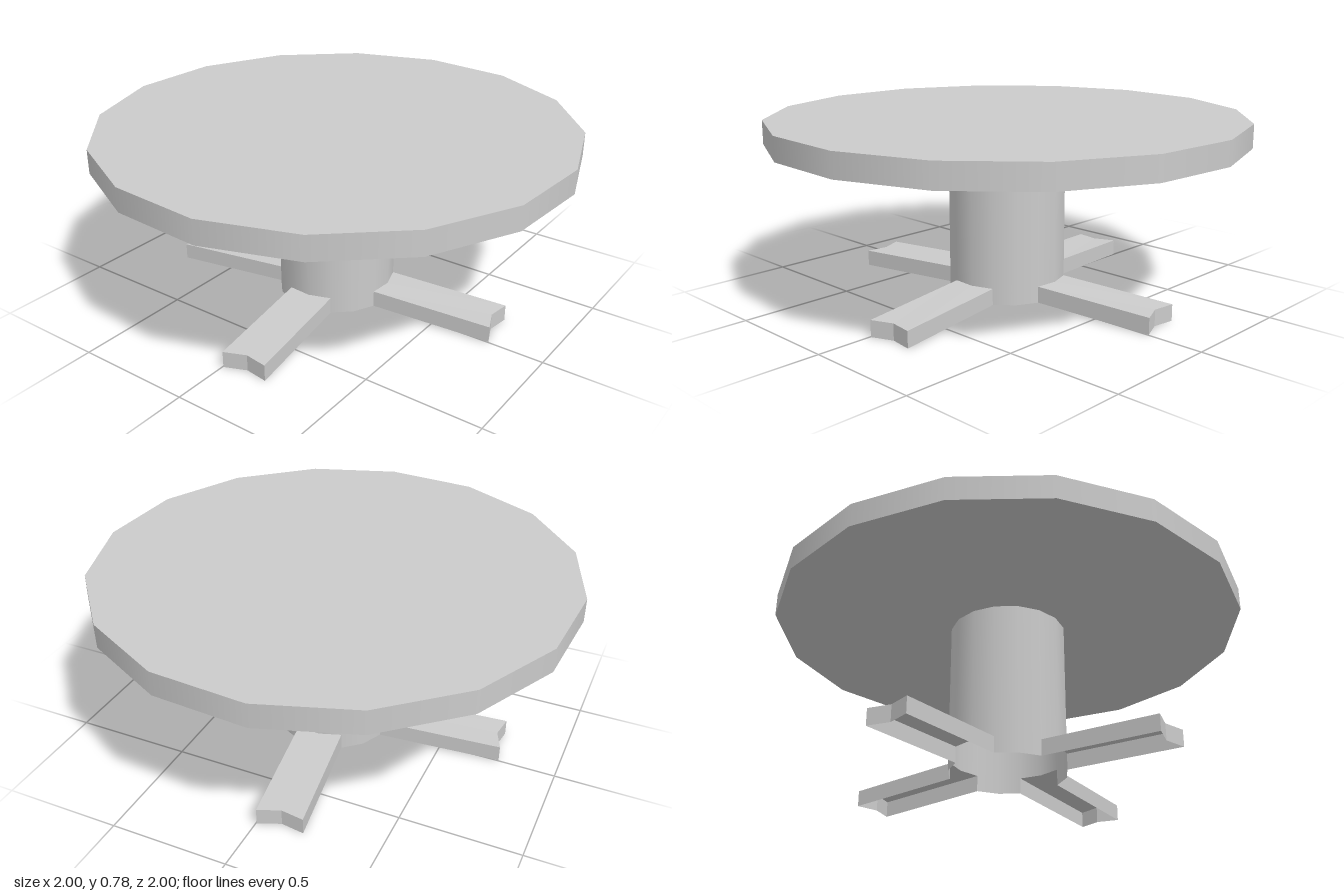
import * as THREE from 'three';

const SIDES = 16, STEP = (Math.PI * 2) / SIDES, R = 0.25;
const BASE = 0.02, LEG_TOP = 0.09, TOP_UNDER = 0.68, TOP = 0.78;

const material = new THREE.MeshStandardMaterial({ color: 0xcccccc, side: THREE.DoubleSide });

function part(name, geometry, y = 0) {
  const mesh = new THREE.Mesh(geometry, material);
  mesh.name = name;
  mesh.position.y = y;
  return mesh;
}

// Hollow foot running along +z: top, sides and notched end, open underneath
function legGeometry() {
  const w = R * Math.sin(STEP), inner = R * Math.cos(STEP), drop = 0.02, h = LEG_TOP - BASE;
  const innerL = [-w, inner, BASE], innerMid = [0, R, BASE], innerR = [w, inner, BASE];
  const outerL = [-w, 0.753, BASE - drop], outerMid = [0, 0.727, BASE - drop], outerR = [w, 0.753, BASE - drop];
  const low = ([x, z, y]) => [x, y, z];
  const high = ([x, z, y]) => [x, y + h, z];
  const pos = [];
  const quad = (a, b, c, d) => pos.push(...a, ...b, ...c, ...a, ...c, ...d);

  quad(...[innerL, outerL, outerMid, innerMid].map(high));
  quad(...[innerMid, outerMid, outerR, innerR].map(high));
  const rim = [innerL, outerL, outerMid, outerR, innerR];
  for (let i = 0; i < rim.length - 1; i++) {
    quad(low(rim[i]), low(rim[i + 1]), high(rim[i + 1]), high(rim[i]));
  }
  const geometry = new THREE.BufferGeometry();
  geometry.setAttribute('position', new THREE.Float32BufferAttribute(pos, 3));
  geometry.computeVertexNormals();
  return geometry;
}

export function createModel() {
  const model = new THREE.Group();
  model.name = 'pedestalTable';

  // Round top
  model.add(part('tableTop',
    new THREE.CylinderGeometry(1.008, 1.008, TOP - TOP_UNDER, SIDES), (TOP + TOP_UNDER) / 2));

  // Hollow column
  model.add(part('column',
    new THREE.CylinderGeometry(R, R, TOP_UNDER - LEG_TOP, SIDES, 1, true), (TOP_UNDER + LEG_TOP) / 2));

  // Four feet, with the column wall continuing down between them
  const leg = legGeometry();
  const wall = new THREE.CylinderGeometry(R, R, LEG_TOP - BASE, 2, 1, true, STEP, STEP * 2);
  for (let i = 0; i < 4; i++) {
    const foot = part('leg', leg);
    const base = part('columnBase', wall, (LEG_TOP + BASE) / 2);
    foot.rotation.y = base.rotation.y = (i * Math.PI) / 2;
    model.add(foot, base);
  }

  // The whole table is turned slightly
  model.rotation.y = THREE.MathUtils.degToRad(7.5);
  return model;
}
